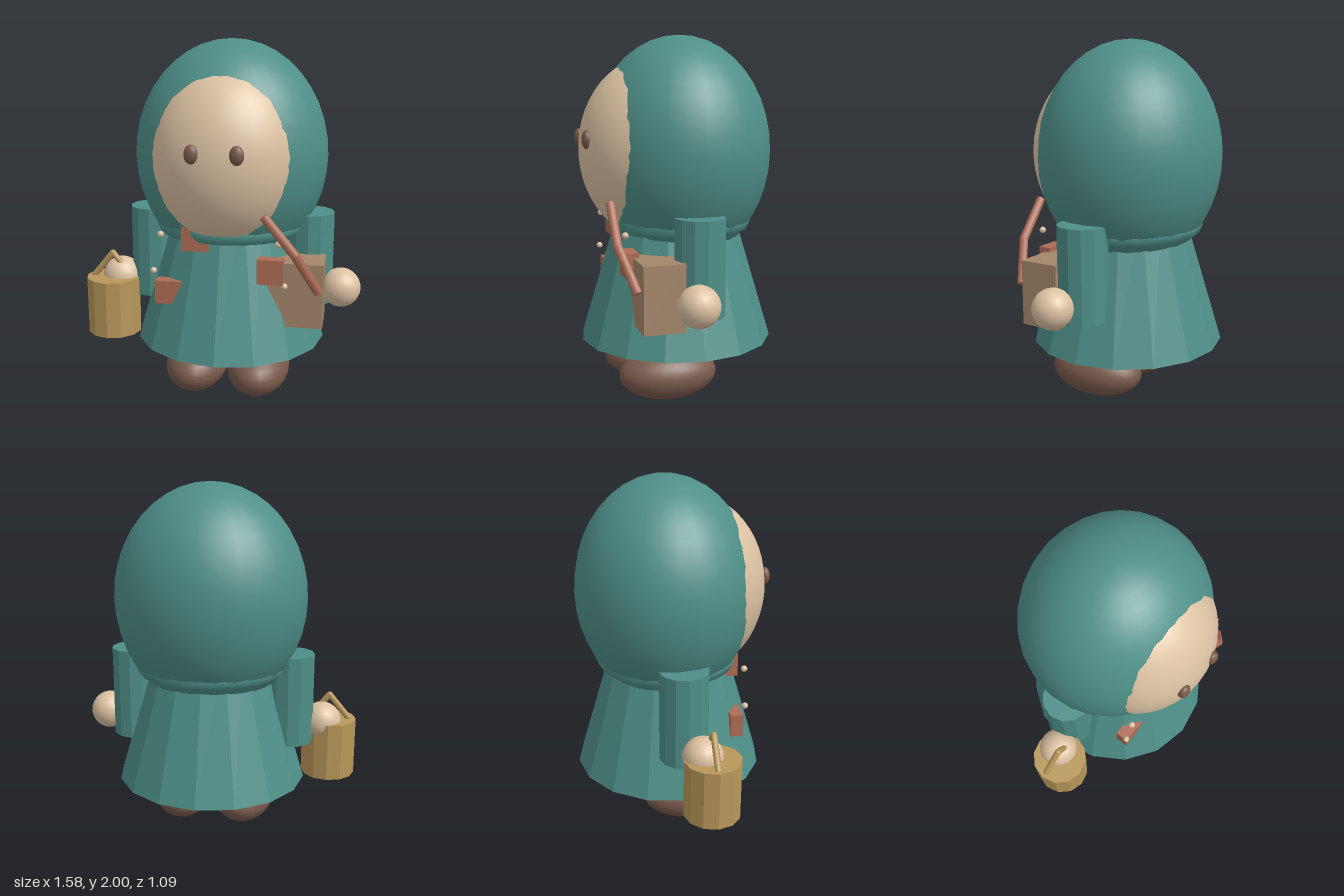
import * as THREE from 'three';

const mat = (name, color, flatShading = false) => {
  const m = new THREE.MeshStandardMaterial({ color, flatShading });
  m.name = name;
  return m;
};

export function createModel() {
  const model = new THREE.Group();
  model.name = 'hoodedFigure';
  const CX = 0.04; // body axis

  const teal = mat('teal cloth', 0x4f8f88);
  const cream = mat('cream skin', 0xdcc2a3);
  const brown = mat('brown leather', 0x7a5a4c);
  const rust = mat('rust cloth', 0xad6c56);
  const tan = mat('tan satchel', 0xa5876b);
  const brass = mat('brass', 0xb8975a);

  const add = (name, geo, material, x, y, z) => {
    const mesh = new THREE.Mesh(geo, material);
    mesh.name = name;
    mesh.position.set(x, y, z);
    model.add(mesh);
    return mesh;
  };
  const ellipsoid = (name, material, [x, y, z], [rx, ry, rz], seg = 24) =>
    add(name, new THREE.SphereGeometry(1, seg, Math.round(seg * 0.7)).scale(rx, ry, rz), material, x, y, z);
  // Faceted upright cylinder between two heights
  const drum = (name, material, x, z, y0, y1, r0, r1, sides) => {
    const geo = new THREE.CylinderGeometry(r1, r0, y1 - y0, sides).toNonIndexed();
    geo.computeVertexNormals();
    return add(name, geo, material, x, (y0 + y1) / 2, z);
  };
  const box = (name, material, [x0, x1], [y0, y1], [z0, z1]) =>
    add(name, new THREE.BoxGeometry(x1 - x0, y1 - y0, z1 - z0), material,
      (x0 + x1) / 2, (y0 + y1) / 2, (z0 + z1) / 2);
  // Rods joining successive points, with round joints
  const rods = (name, material, points, r) => {
    const pts = points.map((p) => new THREE.Vector3(...p));
    for (let i = 0; i < pts.length - 1; i++) {
      const dir = pts[i + 1].clone().sub(pts[i]);
      const mid = pts[i].clone().addScaledVector(dir, 0.5);
      const rod = add(name, new THREE.CylinderGeometry(r, r, dir.length(), 8), material, mid.x, mid.y, mid.z);
      rod.quaternion.setFromUnitVectors(new THREE.Vector3(0, 1, 0), dir.normalize());
      if (i > 0) ellipsoid(name + 'Joint', material, points[i], [r, r, r], 10);
    }
  };

  // Hood, face and coat
  ellipsoid('hood', teal, [CX, 1.37, -0.02], [0.538, 0.63, 0.502], 28);
  ellipsoid('face', cream, [CX, 1.38, 0.13], [0.427, 0.504, 0.41], 36);
  drum('coat', teal, CX, 0, 0.32, 1.12, 0.54, 0.3, 16);
  const collar = add('collar', new THREE.TorusGeometry(0.345, 0.065, 8, 20), teal, CX, 0.99, -0.015);
  collar.rotation.x = Math.PI / 2;
  collar.scale.x = 1.05;

  // Mirrored parts about the body axis
  for (const [side, s] of [['left', 1], ['right', -1]]) {
    ellipsoid(side + 'Eye', brown, [CX + s * 0.115, 1.445, 0.52], [0.038, 0.05, 0.029], 16);
    drum(side + 'Sleeve', teal, CX + s * 0.45, 0.005, 0.545, 1.06, 0.135, 0.135, 12);
    ellipsoid(side + 'Hand', cream, [CX + s * 0.635, 0.645, 0.07], [0.11, 0.11, 0.11], 20);
    drum(side + 'Leg', rust, CX + s * 0.16, 0, 0.15, 0.45, 0.115, 0.115, 12);
    ellipsoid(side + 'Shoe', brown, [CX + s * 0.18, 0.147, 0.097], [0.177, 0.143, 0.277], 24);
  }

  // Satchel and cloth patches
  box('satchel', tan, [0.27, 0.59], [0.49, 0.845], [0.11, 0.33]);
  box('chestPatch', rust, [-0.17, -0.02], [0.895, 1.03], [0.28, 0.36]);
  box('sidePatch', rust, [-0.32, -0.17], [0.59, 0.72], [0.29, 0.362]);
  box('hipPatch', rust, [0.24, 0.38], [0.735, 0.87], [0.3, 0.37]);

  // Bent pipe
  rods('pipe', rust, [[0.28, 1.12, 0.425], [0.445, 0.92, 0.425], [0.565, 0.705, 0.355]], 0.025);

  // Pail with a peaked handle
  drum('pail', brass, -0.635, 0.115, 0.32, 0.65, 0.155, 0.155, 12);
  rods('pailHandle', brass, [[-0.755, 0.645, 0.115], [-0.635, 0.79, 0.115], [-0.515, 0.645, 0.115]], 0.018);

  // Small beads
  for (const [x, y, z] of [[-0.28, 0.985, 0.365], [0.352, 0.96, 0.365], [-0.323, 0.78, 0.365], [0.385, 0.725, 0.35]])
    ellipsoid('bead', cream, [x, y, z], [0.018, 0.018, 0.018], 10);

  return model;
}
